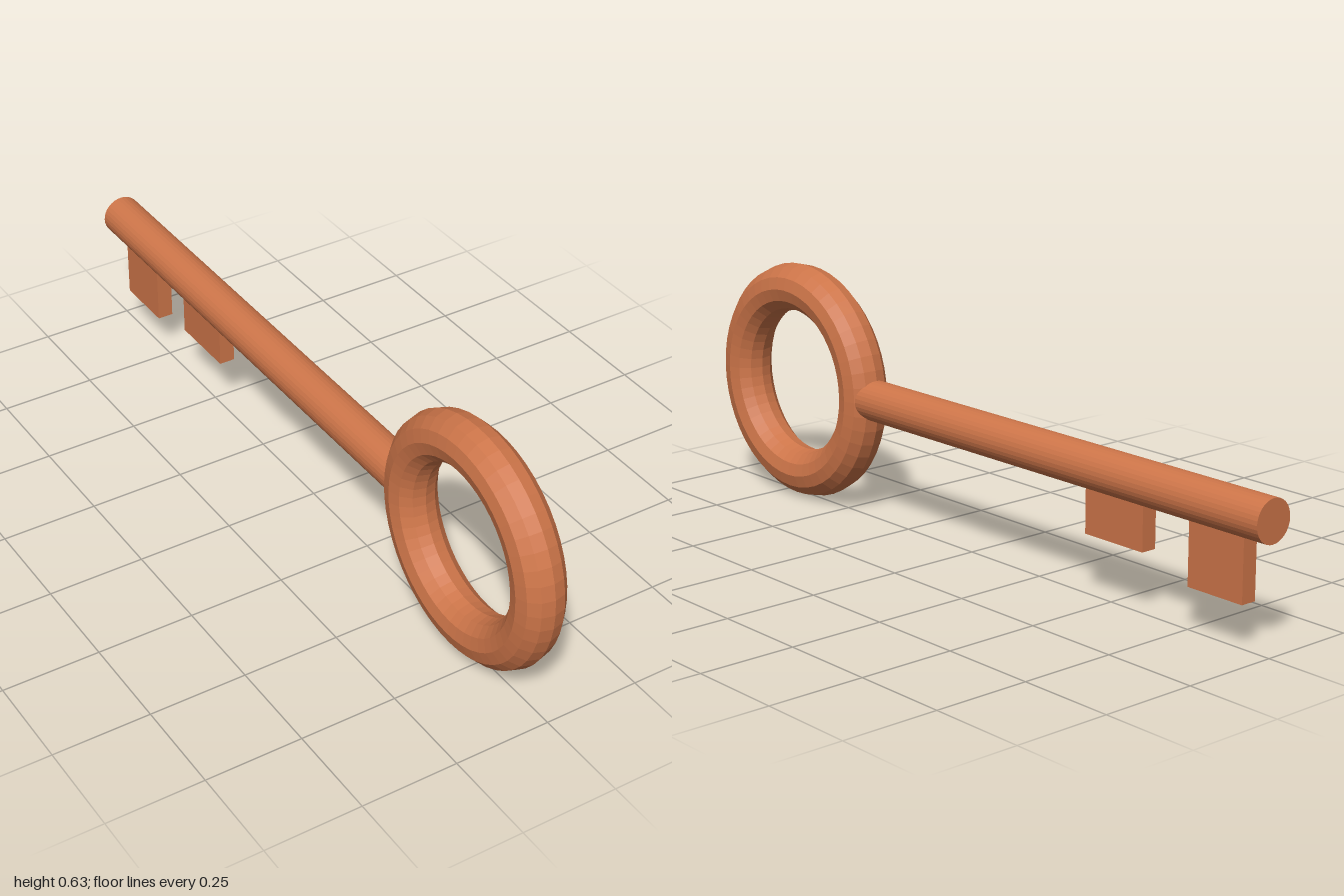
import * as THREE from 'three';

export function createModel() {
  const key = new THREE.Group();
  key.name = 'key';

  const copper = new THREE.MeshStandardMaterial({ color: 0xcd7549, flatShading: true });
  copper.name = 'copper';

  const axisY = 0.316; // height of the shaft and the ring centre
  const add = (name, geometry, x, y, z) => {
    const mesh = new THREE.Mesh(geometry, copper);
    mesh.name = name;
    mesh.position.set(x, y, z);
    key.add(mesh);
  };

  // Ring handle, standing in the y-z plane
  add('ringHandle', new THREE.TorusGeometry(0.2527, 0.0632, 12, 48).rotateY(Math.PI / 2), 0, axisY, 0.684);

  // Round shaft from inside the ring's tube to the tip
  const shaftStart = 0.43, shaftEnd = -1;
  add('shaft', new THREE.CylinderGeometry(0.0535, 0.0535, shaftStart - shaftEnd, 32).rotateX(Math.PI / 2),
    0, axisY + 0.002, (shaftStart + shaftEnd) / 2);

  // Flat bits hanging below the shaft
  const bits = [
    { name: 'innerBit', front: -0.431, back: -0.621, bottom: 0.157 },
    { name: 'outerBit', front: -0.767, back: -0.934, bottom: 0.112 },
  ];
  for (const { name, front, back, bottom } of bits) {
    add(name, new THREE.BoxGeometry(0.042, axisY - bottom, front - back),
      0, (axisY + bottom) / 2, (front + back) / 2);
  }

  return key;
}
